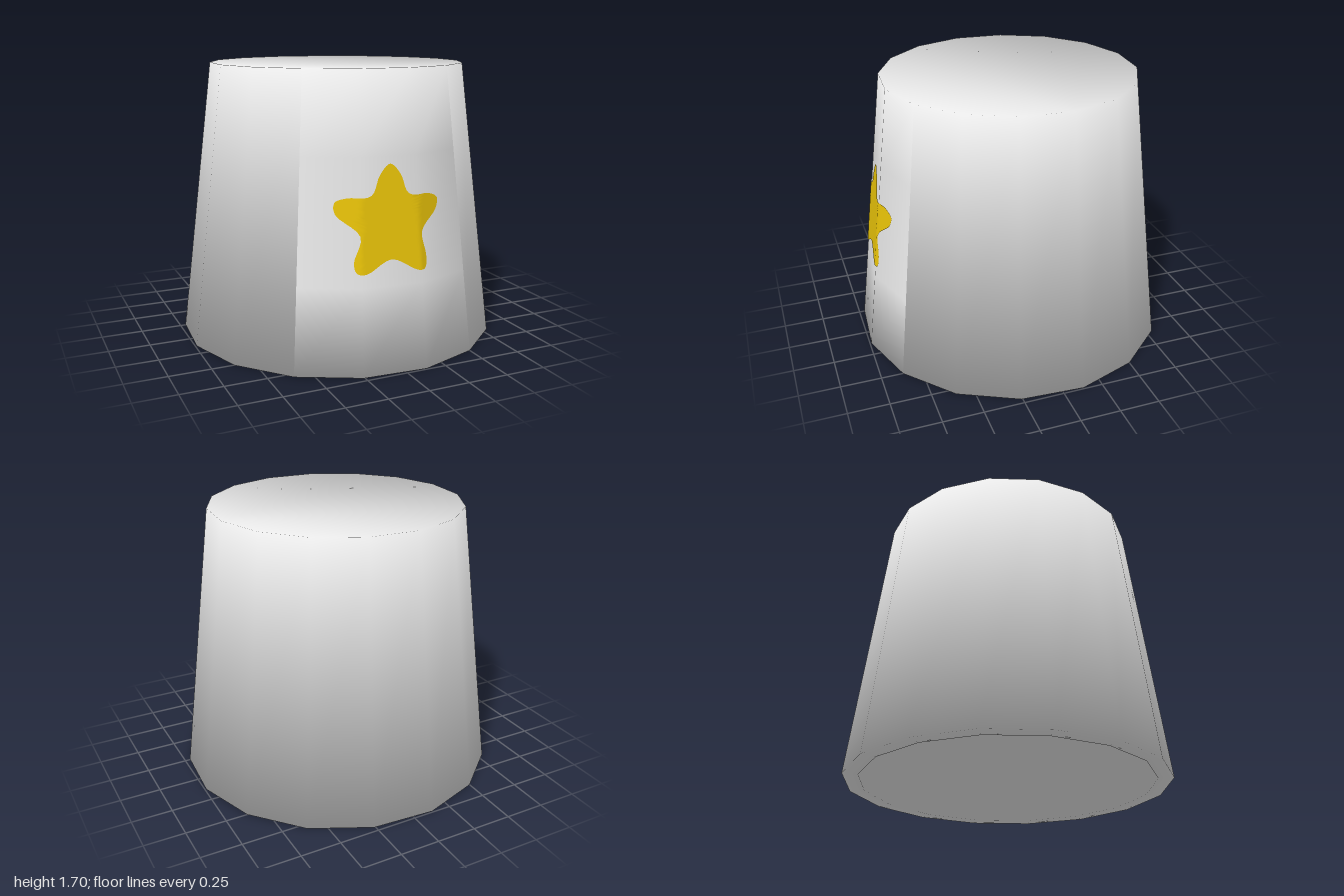
import * as THREE from 'three';

const SIDES = 16, START = THREE.MathUtils.degToRad(7.5), STEP = Math.PI * 2 / SIDES;
const HEIGHT = 1.7, BASE_R = 1, TOP_R = 0.79;
const FRONT = [11, 12, 10]; // facets that carry the star
const radiusAt = (y) => BASE_R + (TOP_R - BASE_R) * y / HEIGHT;

// Cup section from the inner ceiling edge, down, round the lip and up the outer wall
const PROFILE = [[0.7, 1.6], [0.905, 0], [BASE_R, 0], [TOP_R, HEIGHT]];

function makeGeometry(position, normal, index) {
  const g = new THREE.BufferGeometry();
  g.setAttribute('position', new THREE.Float32BufferAttribute(position, 3));
  if (normal) g.setAttribute('normal', new THREE.Float32BufferAttribute(normal, 3));
  g.setIndex(index);
  if (!normal) g.computeVertexNormals();
  return g;
}

function cupGeometry() {
  const position = [], normal = [], index = [];
  // Normals of each profile segment, averaged at the corners for soft shading
  const path = [[0, 1.6], ...PROFILE, [0, HEIGHT]];
  const segment = path.slice(1).map((q, i) =>
    new THREE.Vector2(q[1] - path[i][1], path[i][0] - q[0]).normalize());
  const corner = PROFILE.map((_, i) => segment[i].clone().add(segment[i + 1]).normalize());
  const vertex = (r, y, n, i) => {
    const a = START + i * STEP, c = Math.cos(a), s = -Math.sin(a);
    position.push(r * c, y, r * s);
    normal.push(n.x * c, n.y, n.x * s);
    return position.length / 3 - 1;
  };
  const quad = (p, np, q, nq, i) => {
    const a = vertex(...p, np, i), b = vertex(...p, np, i + 1);
    const c = vertex(...q, nq, i + 1), d = vertex(...q, nq, i);
    index.push(a, b, c, a, c, d);
  };
  // Inner wall, lip and outer wall
  for (let k = 0; k < 3; k++) {
    for (let i = 0; i < SIDES; i++) {
      if (k === 2 && FRONT.includes(i)) {
        // Flatter panel behind the star
        const rows = [PROFILE[2], [radiusAt(0.5), 0.5], [radiusAt(1.22), 1.22], PROFILE[3]];
        const ns = [corner[2], segment[3], segment[3], corner[3]];
        for (let j = 0; j < 3; j++) quad(rows[j], ns[j], rows[j + 1], ns[j + 1], i);
      } else quad(PROFILE[k], corner[k], PROFILE[k + 1], corner[k + 1], i);
    }
  }
  // Closed top and the ceiling inside it
  for (const [k, up] of [[3, true], [0, false]]) {
    const ring = Array.from({ length: SIDES }, (_, i) => vertex(...PROFILE[k], corner[k], i));
    for (let i = 1; i < SIDES - 1; i++) {
      if (up) index.push(ring[0], ring[i], ring[i + 1]);
      else index.push(ring[0], ring[i + 1], ring[i]);
    }
  }
  return makeGeometry(position, normal, index);
}

// Depth of the faceted wall at a point of the front
function wallZ(x, y) {
  const apothem = radiusAt(y) * Math.cos(STEP / 2);
  return Math.min(...FRONT.map((i) => {
    const a = START + (i + 0.5) * STEP;
    return (apothem - x * Math.cos(a)) / -Math.sin(a);
  }));
}

// Rounded star laid over the front facets
function starGeometry() {
  const outline = [
    [-0.11, 1.12], [-0.045, 1.18], [0.015, 1.12], [0.06, 1.01], [0.2, 0.995],
    [0.265, 0.96], [0.25, 0.9], [0.135, 0.79], [0.16, 0.65], [0.15, 0.58],
    [0.1, 0.575], [-0.06, 0.65], [-0.21, 0.58], [-0.265, 0.585], [-0.28, 0.64],
    [-0.24, 0.79], [-0.36, 0.91], [-0.36, 0.975], [-0.3, 1.0], [-0.165, 1.01],
  ].map(([x, y]) => new THREE.Vector3(x, y, 0));
  const COUNT = 100, RINGS = 16, cx = -0.05, cy = 0.87;
  const edge = new THREE.CatmullRomCurve3(outline, true).getPoints(COUNT);
  const position = [], index = [];
  for (let r = 0; r <= RINGS; r++) {
    for (let i = 0; i < COUNT; i++) {
      const x = cx + (edge[i].x - cx) * r / RINGS, y = cy + (edge[i].y - cy) * r / RINGS;
      position.push(x, y, wallZ(x, y) + 0.005);
    }
  }
  for (let r = 0; r < RINGS; r++) {
    for (let i = 0; i < COUNT; i++) {
      const a = r * COUNT + i, b = r * COUNT + (i + 1) % COUNT;
      if (r > 0) index.push(a, b, b + COUNT);
      index.push(a, b + COUNT, a + COUNT);
    }
  }
  return makeGeometry(position, null, index);
}

export function createModel() {
  const grey = new THREE.MeshStandardMaterial({ color: 0xe7e7e7 });
  grey.name = 'lightGrey';
  const gold = new THREE.MeshStandardMaterial({ color: 0xffd60a, side: THREE.DoubleSide });
  gold.name = 'gold';

  const group = new THREE.Group();
  group.name = 'upturnedCup';
  const cup = new THREE.Mesh(cupGeometry(), grey);
  cup.name = 'cup';
  const star = new THREE.Mesh(starGeometry(), gold);
  star.name = 'star';
  group.add(cup, star);
  return group;
}
